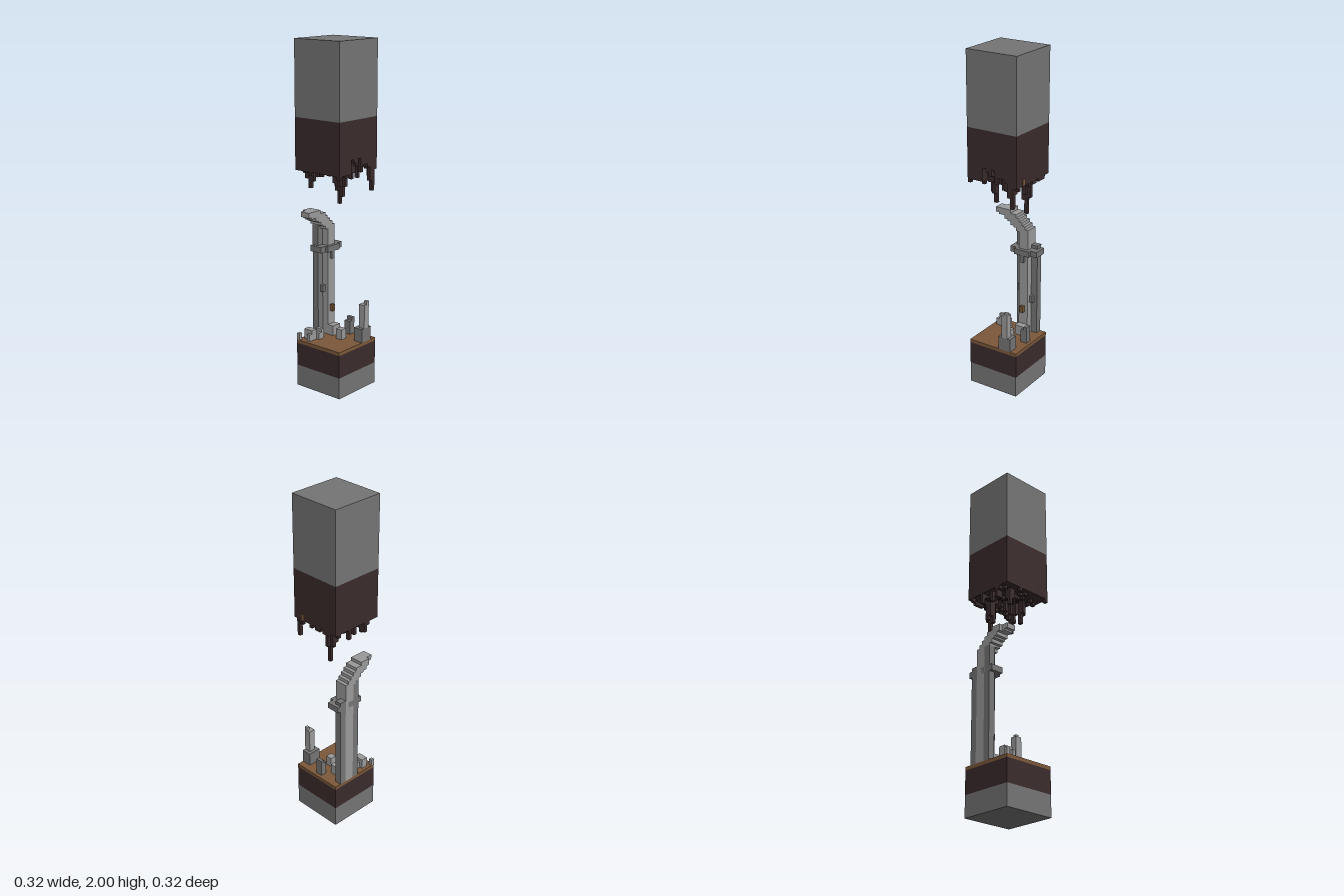
import * as THREE from 'three';
import { mergeGeometries } from 'three/addons/utils/BufferGeometryUtils.js';

const U = 0.02; // one voxel
const make = (name, hex) => {
  const m = new THREE.MeshStandardMaterial({ color: hex });
  m.name = name;
  return m;
};

// box from its min and max corners
function block(x0, x1, y0, y1, z0, z1) {
  const g = new THREE.BoxGeometry(x1 - x0, y1 - y0, z1 - z0);
  g.translate((x0 + x1) / 2, (y0 + y1) / 2, (z0 + z1) / 2);
  return g;
}

export function createModel() {
  const stone = make('stone', 0x757575);
  const paleStone = make('paleStone', 0x9b9b9b);
  const darkEarth = make('darkEarth', 0x3b2b2c);
  const soil = make('soil', 0x7c583a);

  const model = new THREE.Group();
  model.name = 'ruinedCavern';
  const add = (name, material, boxes) => {
    const mesh = new THREE.Mesh(mergeGeometries(boxes.map(b => block(...b))), material);
    mesh.name = name;
    model.add(mesh);
  };
  const H = 0.16;

  // layered ground
  add('groundRock', stone, [[-H, H, 0, 0.125, -H, H]]);
  add('groundEarth', darkEarth, [[-H, H, 0.125, 0.26, -H, H]]);
  add('groundSoil', soil, [[-H, H, 0.26, 0.28, -H, H]]);

  // layered ceiling
  add('ceilingRock', stone, [[-H, H, 1.575, 2, -H, H]]);
  add('ceilingEarth', darkEarth, [[-H, H, 1.36, 1.575, -H, H]]);

  // ragged underside: one column per voxel, hollowed toward the +x side
  let seed = 7;
  const rnd = () => (seed = (seed * 16807) % 2147483647) / 2147483647;
  const spikes = { // "column,row" : tip height
    '5,3': 1.06, '5,4': 1.14, '4,3': 1.16, '4,4': 1.18, '6,3': 1.18, '5,2': 1.16,
    '11,9': 1.14, '11,10': 1.2, '12,9': 1.2, '15,1': 1.16, '14,1': 1.24, '15,2': 1.22,
    '3,13': 1.18, '3,12': 1.22, '4,13': 1.22, '0,11': 1.22, '1,11': 1.22, '1,8': 1.22,
    '0,5': 1.22, '8,6': 1.22, '9,7': 1.2, '13,5': 1.24, '10,4': 1.22,
  };
  const columns = [];
  for (let i = 0; i < 16; i++) {
    for (let j = 0; j < 16; j++) {
      const x = -H + i * U, z = -H + j * U;
      const hollow = Math.hypot((x - 0.1) / 0.16, (z + 0.05) / 0.1) < 1;
      const r = rnd();
      let y = hollow ? 1.36 - Math.floor(r * 5) * U : 1.28 - (r > 0.8 ? U : 0);
      y = spikes[i + ',' + j] ?? y;
      if (y < 1.36) columns.push([x, x + U, y, 1.36, z, z + U]);
    }
  }
  add('stalactites', darkEarth, columns);
  add('ceilingSoilLump', soil, [[0.08, 0.1, 1.28, 1.32, -0.163, -0.14]]);

  // pillar: pale core between two darker ribs
  add('pillarCore', paleStone, [[-0.16, -0.08, 0.28, 0.9, -0.08, -0.02]]);
  add('pillarRibs', stone, [
    [-0.16, -0.12, 0.28, 0.94, -0.02, 0.02],
    [-0.16, -0.12, 0.28, 0.84, -0.12, -0.08],
    [-0.12, -0.1, 0.48, 0.52, -0.1, -0.08],
    [-0.12, -0.1, 0.54, 0.58, -0.02, 0],
  ]);
  add('pillarCollar', stone, [
    [-0.16, -0.08, 0.785, 0.82, -0.14, 0.04],
    [-0.08, -0.06, 0.785, 0.82, -0.1, 0],
    [-0.08, -0.065, 0.74, 0.785, -0.06, -0.04],
  ]);
  add('pillarOre', soil, [[-0.08, -0.06, 0.42, 0.46, -0.06, -0.04]]);

  // broken arch curving forward: z start, bottom, top for each step
  const steps = [
    [-0.08, 0.82, 0.94], [-0.06, 0.82, 0.96], [-0.04, 0.88, 0.98], [-0.02, 0.92, 1.0],
    [0, 0.94, 1.02], [0.02, 0.95, 1.02], [0.04, 0.97, 1.04], [0.06, 0.98, 1.04],
    [0.08, 1.0, 1.04], [0.1, 1.0, 1.04], [0.12, 1.01, 1.04],
  ];
  add('brokenArch', paleStone, steps.map(([z, y0, y1], i) =>
    [i > 8 ? -0.14 : -0.16, -0.08, y0, y1, z, z + U]));

  // fallen masonry on the ground
  add('paleRubble', paleStone, [
    [-0.14, -0.08, 0.28, 0.34, 0.08, 0.12],
    [-0.12, -0.06, 0.28, 0.32, 0.06, 0.08],
    [-0.1, -0.06, 0.28, 0.34, 0.04, 0.06],
    [-0.16, -0.14, 0.28, 0.32, 0.14, 0.16],
    [-0.1, -0.08, 0.28, 0.32, 0.12, 0.14],
    [-0.08, -0.04, 0.28, 0.34, -0.08, -0.02],
    [0, 0.04, 0.28, 0.34, -0.04, 0],
  ]);
  add('rubbleStump', stone, [
    [-0.02, 0.02, 0.28, 0.36, -0.14, -0.1],
    [-0.02, 0.02, 0.36, 0.38, -0.14, -0.12],
  ]);
  add('brokenPostBase', stone, [[0.1, 0.16, 0.28, 0.36, -0.12, -0.04]]);
  add('brokenPost', paleStone, [
    [0.12, 0.16, 0.36, 0.5, -0.1, -0.06],
    [0.14, 0.16, 0.5, 0.52, -0.1, -0.08],
  ]);
  return model;
}
